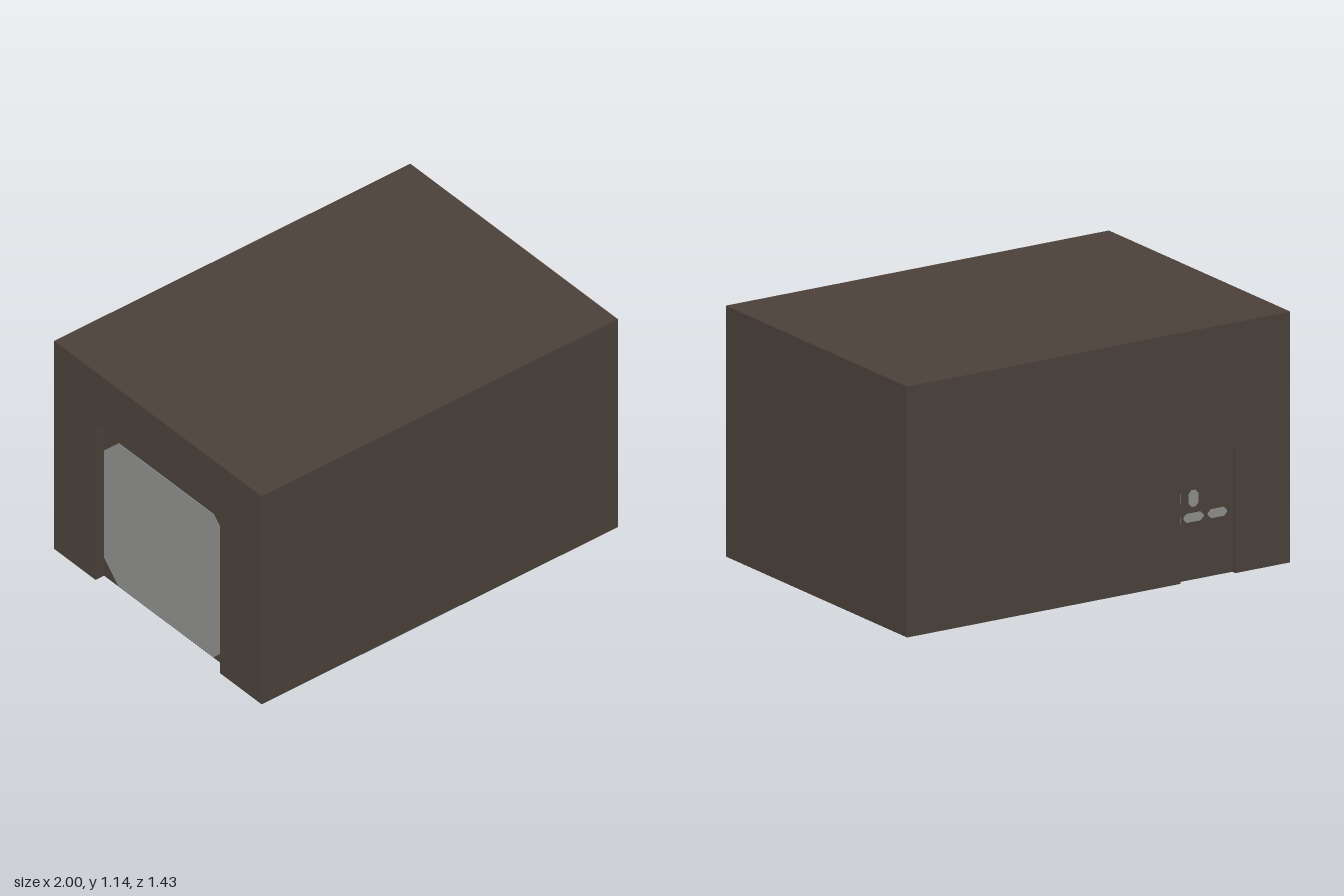
import * as THREE from 'three';

const W = 2, H = 1.143, D = 1.429;

const brown = new THREE.MeshStandardMaterial({ name: 'darkBrownWall', color: 0x4b4139, side: THREE.DoubleSide });
const gray = new THREE.MeshStandardMaterial({ name: 'grayPanel', color: 0x8f8f8d, side: THREE.DoubleSide });

function add(parent, name, geometry, material, x = 0, y = 0, z = 0) {
  const mesh = new THREE.Mesh(geometry, material);
  mesh.name = name;
  mesh.position.set(x, y, z);
  parent.add(mesh);
  return mesh;
}

const polygon = (points) => new THREE.Shape(points.map(([x, y]) => new THREE.Vector2(x, y)));

// Thin plate with cut corners, centred on its origin
function cutCornerPlate(w, h, c) {
  const a = w / 2, b = h / 2;
  const shape = polygon([
    [-a + c, -b], [a - c, -b], [a, -b + c], [a, b - c],
    [a - c, b], [-a + c, b], [-a, b - c], [-a, -b + c],
  ]);
  const geometry = new THREE.ExtrudeGeometry(shape, { depth: 0.006, bevelEnabled: false });
  return geometry.translate(0, 0, -0.003);
}

// Upright wall facing local +z with a doorway and a recessed door behind it
function wallWithDoor(name, width, door) {
  const wall = new THREE.Group();
  wall.name = name;
  const { u, w, h, depth } = door;
  const l = u - w / 2, r = u + w / 2, s = width / 2;
  add(wall, name + 'Face', new THREE.ShapeGeometry(polygon([
    [-s, 0], [l, 0], [l, h], [r, h], [r, 0], [s, 0], [s, H], [-s, H],
  ])), brown);
  add(wall, 'doorPanel', new THREE.PlaneGeometry(w, h), brown, u, h / 2, -depth);
  add(wall, 'doorHeader', new THREE.PlaneGeometry(w, depth), brown, u, h, -depth / 2).rotation.x = Math.PI / 2;
  add(wall, 'doorJambStart', new THREE.PlaneGeometry(depth, h), brown, l, h / 2, -depth / 2).rotation.y = Math.PI / 2;
  add(wall, 'doorJambEnd', new THREE.PlaneGeometry(depth, h), brown, r, h / 2, -depth / 2).rotation.y = -Math.PI / 2;
  return wall;
}

export function createModel() {
  const model = new THREE.Group();
  model.name = 'building';

  // Plain walls and roof, open underneath
  add(model, 'frontWall', new THREE.PlaneGeometry(W, H), brown, 0, H / 2, D / 2);
  add(model, 'leftWall', new THREE.PlaneGeometry(D, H), brown, W / 2, H / 2, 0).rotation.y = Math.PI / 2;
  add(model, 'roof', new THREE.PlaneGeometry(W, D), brown, 0, H, 0).rotation.x = -Math.PI / 2;

  // Right wall with the large gate
  const gateWall = wallWithDoor('rightWall', D, { u: 0, w: 0.857, h: 0.857, depth: 0.048 });
  gateWall.position.x = -W / 2;
  gateWall.rotation.y = -Math.PI / 2;
  add(gateWall, 'gatePanel', cutCornerPlate(0.855, 0.785, 0.1), gray, 0, 0.3975, -0.048);
  model.add(gateWall);

  // Back wall with the small door
  const depth = 0.024;
  const backWall = wallWithDoor('backWall', W, { u: 0.571, w: 0.286, h: 0.571, depth });
  backWall.position.z = -D / 2;
  backWall.rotation.y = Math.PI;
  model.add(backWall);

  // Door window and the two plates below it
  for (const [name, u, y, w, h] of [
    ['doorWindow', 0.51, 0.37, 0.05, 0.076],
    ['doorPlateInner', 0.51, 0.284, 0.105, 0.04],
    ['doorPlateOuter', 0.635, 0.284, 0.1, 0.04],
  ]) add(backWall, name, cutCornerPlate(w, h, 0.016), gray, u, y, -depth);

  // Small plates on the door jamb
  for (const [y, h] of [[0.384, 0.045], [0.284, 0.03]]) {
    add(backWall, 'jambPlate', new THREE.BoxGeometry(0.004, h, 0.018), gray, 0.43, y, -0.012);
  }

  return model;
}
